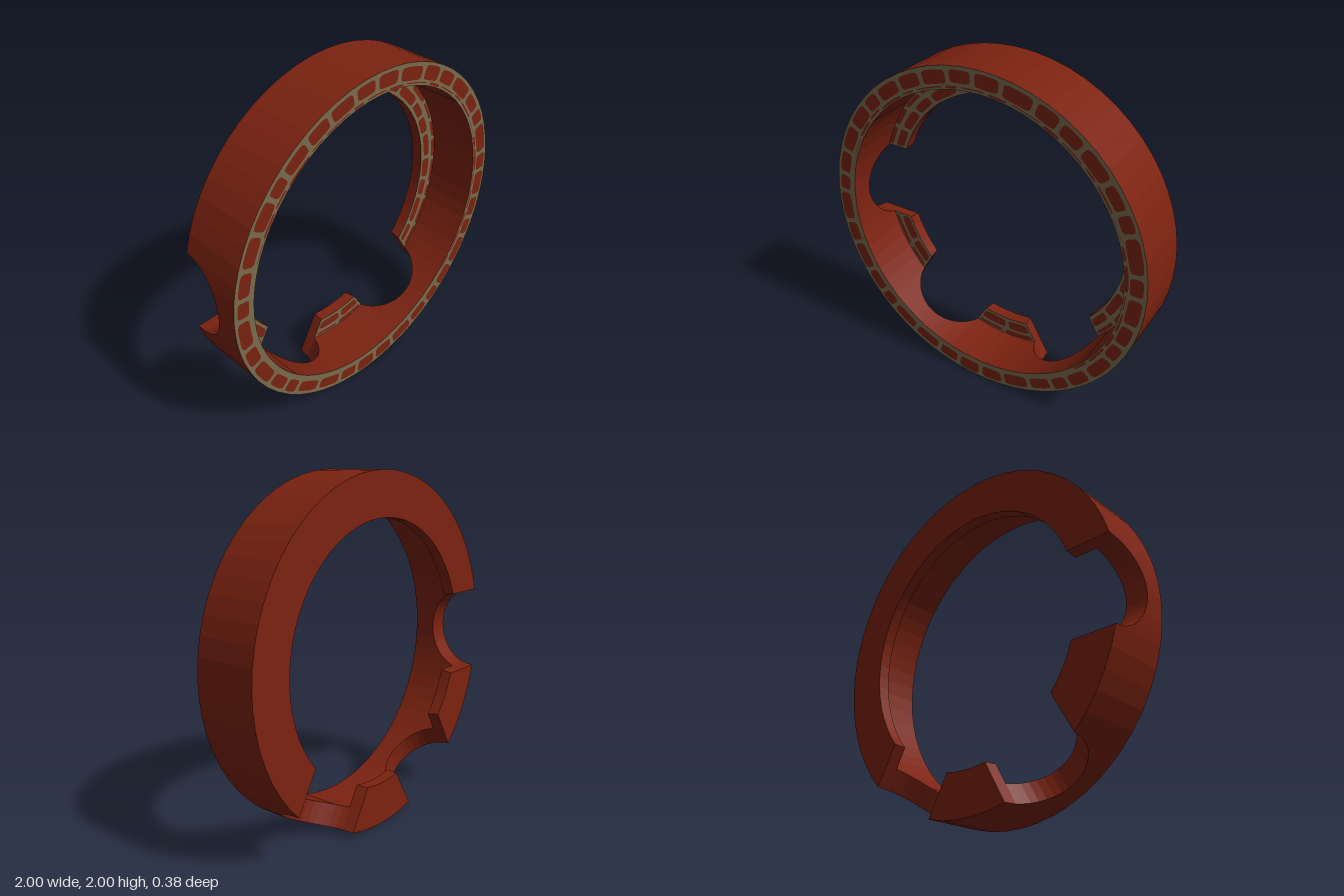
import * as THREE from 'three';

const OUT = 1, MID = 0.875, INN = 0.75;          // rim, front opening and ledge radii
const ZF = 0.1875, ZB = -0.1875, ZS = -0.1175;   // front, back and ledge planes
const CUT = 0.25, LEDGE_CUT = 0.24;              // notch radius and its half width at the ledge
const RAD = Math.PI / 180;
const NOTCHES = [180, 240, 300].map(a => a * RAD);
const ARCS = NOTCHES.map((c, i) => [c, i < 2 ? NOTCHES[i + 1] : NOTCHES[0] + 2 * Math.PI]);

let seed = 7;
const rand = () => (seed = (seed * 16807) % 2147483647) / 2147483647;

const polar = (r, a, z) => new THREE.Vector3(r * Math.cos(a), r * Math.sin(a), z);

// Angle at radius r, a fraction u of the way between two neighbouring notches
function between([c0, c1], half, r, u) {
  const e = Math.asin(half / r);
  return c0 + e + u * (c1 - c0 - 2 * e);
}

// One cross-section; angle(r) lets the notch sides stay parallel
function section(angle, zCut, ri) {
  const zl = Math.max(ZS, zCut);
  return [[OUT, ZF], [OUT, zCut], [ri, zCut], [ri, zl], [MID, zl], [MID, ZF]]
    .map(([r, z]) => polar(r, angle(r), z));
}

// All cross-sections round the ring: notch, solid arc, notch, ...
function ringSections() {
  const list = [];
  for (const arc of ARCS) {
    const notch = (t, ri) => list.push(section(
      r => arc[0] + Math.asin(t / r), ZB + Math.sqrt(Math.max(0, CUT * CUT - t * t)), ri));
    notch(-CUT, INN);
    notch(-LEDGE_CUT, INN);
    for (let i = 0; i <= 16; i++) {
      const t0 = Math.acos(LEDGE_CUT / CUT);
      notch(-CUT * Math.cos(t0 + (Math.PI - 2 * t0) * i / 16), MID);
    }
    notch(LEDGE_CUT, INN);
    const steps = Math.round((arc[1] - arc[0] - 0.5) / (5.8 * RAD));
    for (let i = 0; i < steps; i++) {
      list.push(section(r => between(arc, CUT, r, i / steps), ZB, INN));
    }
  }
  return list;
}

// Joins chosen faces of neighbouring sections into one flat-shaded surface
function skin(sections, bands) {
  const pts = [];
  sections.forEach((s, i) => {
    const n = sections[(i + 1) % sections.length];
    for (const k of bands) {
      const m = (k + 1) % 6;
      for (const [a, b, c] of [[s[k], s[m], n[k]], [s[m], n[m], n[k]]]) {
        const area = b.clone().sub(a).cross(c.clone().sub(a)).length();
        if (area > 1e-8) pts.push(a, b, c);
      }
    }
  });
  const g = new THREE.BufferGeometry().setFromPoints(pts);
  g.computeVertexNormals();
  return g;
}

// A row of rounded, slightly irregular bricks; angle(r, u) maps the row onto the face
function brickRow(angle, r0, r1, count, gap) {
  const cuts = [0];
  for (let i = 1; i < count; i++) cuts.push((i + (rand() - 0.5) * 0.4) / count);
  cuts.push(1);
  const shapes = [];
  for (let i = 0; i < count; i++) {
    const a = cuts[i] + gap / 2, b = cuts[i + 1] - gap / 2;
    const lo = r0 + (rand() - 0.5) * 0.01, hi = r1 + (rand() - 0.5) * 0.01;
    const pts = [];
    for (let j = 0; j < 28; j++) {
      const th = (j + 0.5) / 28 * 2 * Math.PI;
      const sq = v => Math.sign(v) * Math.pow(Math.abs(v), 0.4);
      const r = (lo + hi) / 2 + sq(Math.sin(th)) * (hi - lo) / 2;
      const p = angle(r, (a + b) / 2 - sq(Math.cos(th)) * (b - a) / 2);
      pts.push(new THREE.Vector2(r * Math.cos(p), r * Math.sin(p)));
    }
    shapes.push(new THREE.Shape(pts));
  }
  return new THREE.ShapeGeometry(shapes);
}

export function createModel() {
  const brick = new THREE.MeshStandardMaterial({ color: 0x7b2210, name: 'brickRed' });
  const mortar = new THREE.MeshStandardMaterial({ color: 0x786a4c, name: 'mortar' });
  const group = new THREE.Group();
  group.name = 'brickRing';
  group.position.y = 1;
  const add = (name, geometry, material, z = 0) => {
    const mesh = new THREE.Mesh(geometry, material);
    mesh.name = name;
    mesh.position.z = z;
    group.add(mesh);
  };

  // Ring body and its mortar-coloured front faces
  const sections = ringSections();
  add('ringBody', skin(sections, [0, 1, 2, 4]), brick);
  add('frontMortar', skin(sections, [5]), mortar);
  add('ledgeMortar', skin(sections, [3]), mortar);

  // Bricks on the front rim
  const circle = (r, u) => u * 2 * Math.PI;
  add('rimBricks', brickRow(circle, 0.908, 0.98, 36, 0.0045), brick, ZF + 0.002);
  const longArc = (r, u) => (-45 + 205 * u) * RAD;
  add('rimInnerBricks', brickRow(longArc, 0.883, 0.894, 22, 0.008), brick, ZF + 0.002);

  // Two courses of bricks on each piece of the ledge
  ARCS.forEach((arc, i) => {
    const map = (r, u) => between(arc, LEDGE_CUT, r, u);
    const length = arc[1] - arc[0] - 0.6;
    for (const [name, r0, r1, pitch] of [['Inner', 0.767, 0.822, 0.2], ['Outer', 0.843, 0.868, 0.19]]) {
      const count = Math.max(2, Math.round(length / pitch));
      add(`ledge${name}Bricks${i + 1}`, brickRow(map, r0, r1, count, 0.03 / length), brick, ZS + 0.002);
    }
  });

  const model = new THREE.Group();
  model.name = 'model';
  model.add(group);
  return model;
}
